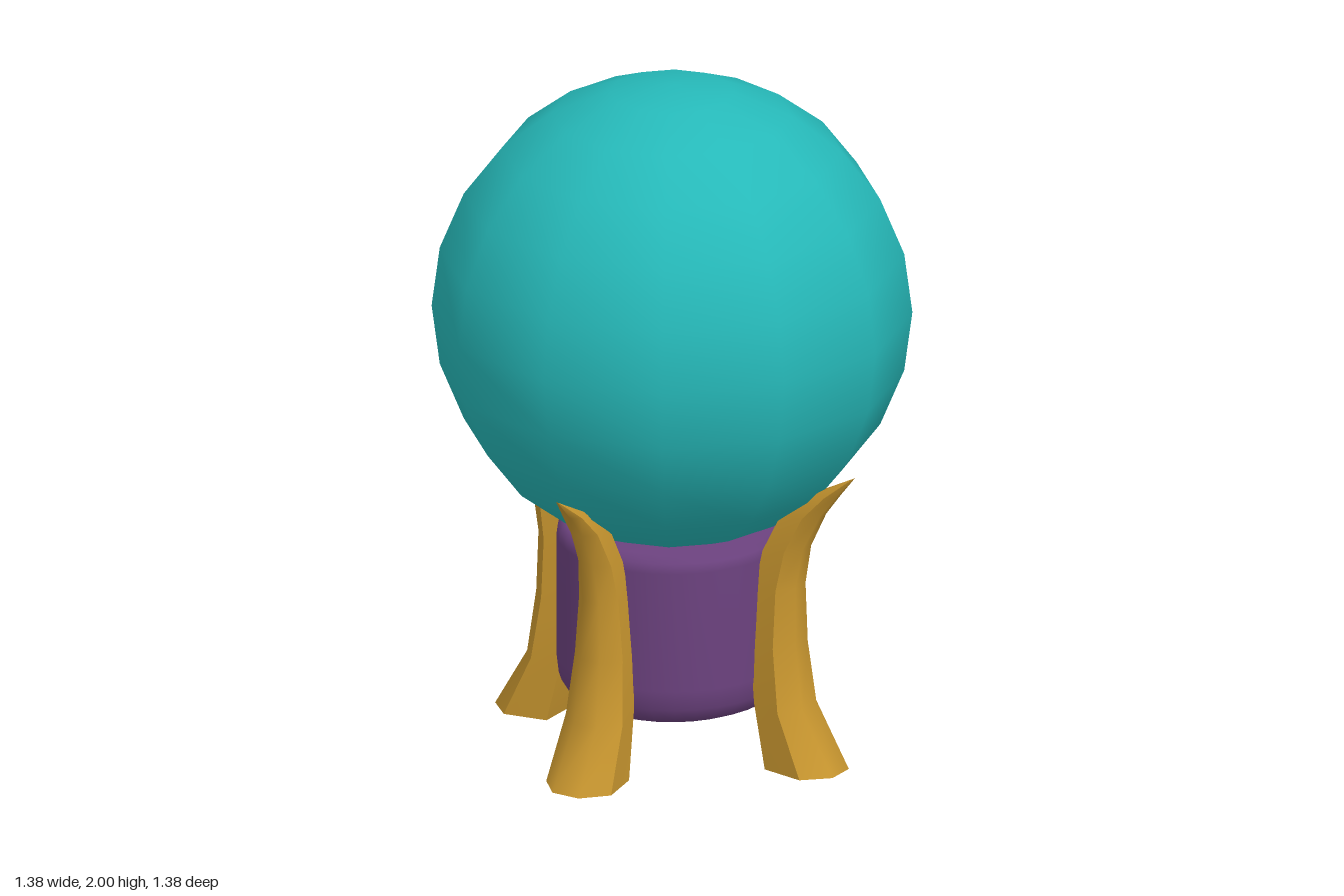
import * as THREE from 'three';

const mat = (name, color) => {
  const m = new THREE.MeshStandardMaterial({ color });
  m.name = name;
  return m;
};

// Leg stations: inner x, inner y, outer x, outer y, half width
const STATIONS = [
  [0.37, 0, 0.572, 0, 0.11],
  [0.327, 0.19, 0.467, 0.18, 0.096],
  [0.305, 0.37, 0.44, 0.37, 0.081],
  [0.313, 0.53, 0.436, 0.55, 0.067],
  [0.335, 0.65, 0.458, 0.67, 0.056],
  [0.39, 0.765, 0.512, 0.78, 0.045],
  [0.48, 0.84, 0.565, 0.85, 0.032],
  [0.615, 0.913, 0.62, 0.916, 0.003],
];

// Cross-section: position from inner (0) to outer (1), and share of the half width
const SECTION = [[0.65, 1], [1, 0.4], [1, -0.4], [0.65, -1], [0, -0.8], [0, 0.8]];

// Runs of section corners that shade smoothly; edges between runs stay sharp
const STRIPS = [[0, 1, 2, 3], [3, 4], [4, 5], [5, 0]];

function legGeometry() {
  const positions = [], index = [];
  const add = (s, k) => {
    const [t, w] = SECTION[k];
    positions.push(
      THREE.MathUtils.lerp(s[0], s[2], t),
      THREE.MathUtils.lerp(s[1], s[3], t),
      s[4] * w
    );
  };
  for (const strip of STRIPS) {
    const start = positions.length / 3, n = strip.length;
    for (const s of STATIONS) for (const k of strip) add(s, k);
    for (let r = 0; r < STATIONS.length - 1; r++) {
      for (let i = 0; i < n - 1; i++) {
        const a = start + r * n + i, d = a + n;
        index.push(a, a + 1, d + 1, a, d + 1, d);
      }
    }
  }
  // Foot and tip caps
  for (const [s, up] of [[STATIONS[0], false], [STATIONS[STATIONS.length - 1], true]]) {
    const c = positions.length / 3;
    SECTION.forEach((_, k) => add(s, k));
    for (let k = 1; k < SECTION.length - 1; k++) {
      if (up) index.push(c, c + k, c + k + 1);
      else index.push(c, c + k + 1, c + k);
    }
  }
  const g = new THREE.BufferGeometry();
  g.setAttribute('position', new THREE.Float32BufferAttribute(positions, 3));
  g.setIndex(index);
  g.computeVertexNormals();
  return g;
}

export function createModel() {
  const model = new THREE.Group();
  model.name = 'orbOnStand';
  const teal = mat('tealGlass', 0x26b9b9);
  const purple = mat('purpleBase', 0x6c427f);
  const gold = mat('goldLegs', 0xc8962f);

  // Orb
  const orb = new THREE.Mesh(new THREE.SphereGeometry(0.69, 12, 12), teal);
  orb.name = 'orb';
  orb.position.y = 1.31;
  model.add(orb);

  // Round base with softened rims
  const profile = [
    [0, 0.14], [0.26, 0.14], [0.3, 0.158], [0.325, 0.2], [0.332, 0.26],
    [0.332, 0.62], [0.328, 0.65], [0.305, 0.67], [0, 0.67],
  ].map(([x, y]) => new THREE.Vector2(x, y));
  const base = new THREE.Mesh(new THREE.LatheGeometry(profile, 32), purple);
  base.name = 'base';
  model.add(base);

  // Four curved legs, one on each axis
  const geo = legGeometry();
  ['leftLeg', 'backLeg', 'rightLeg', 'frontLeg'].forEach((name, i) => {
    const leg = new THREE.Mesh(geo, gold);
    leg.name = name;
    leg.rotation.y = (i * Math.PI) / 2;
    model.add(leg);
  });

  return model;
}
